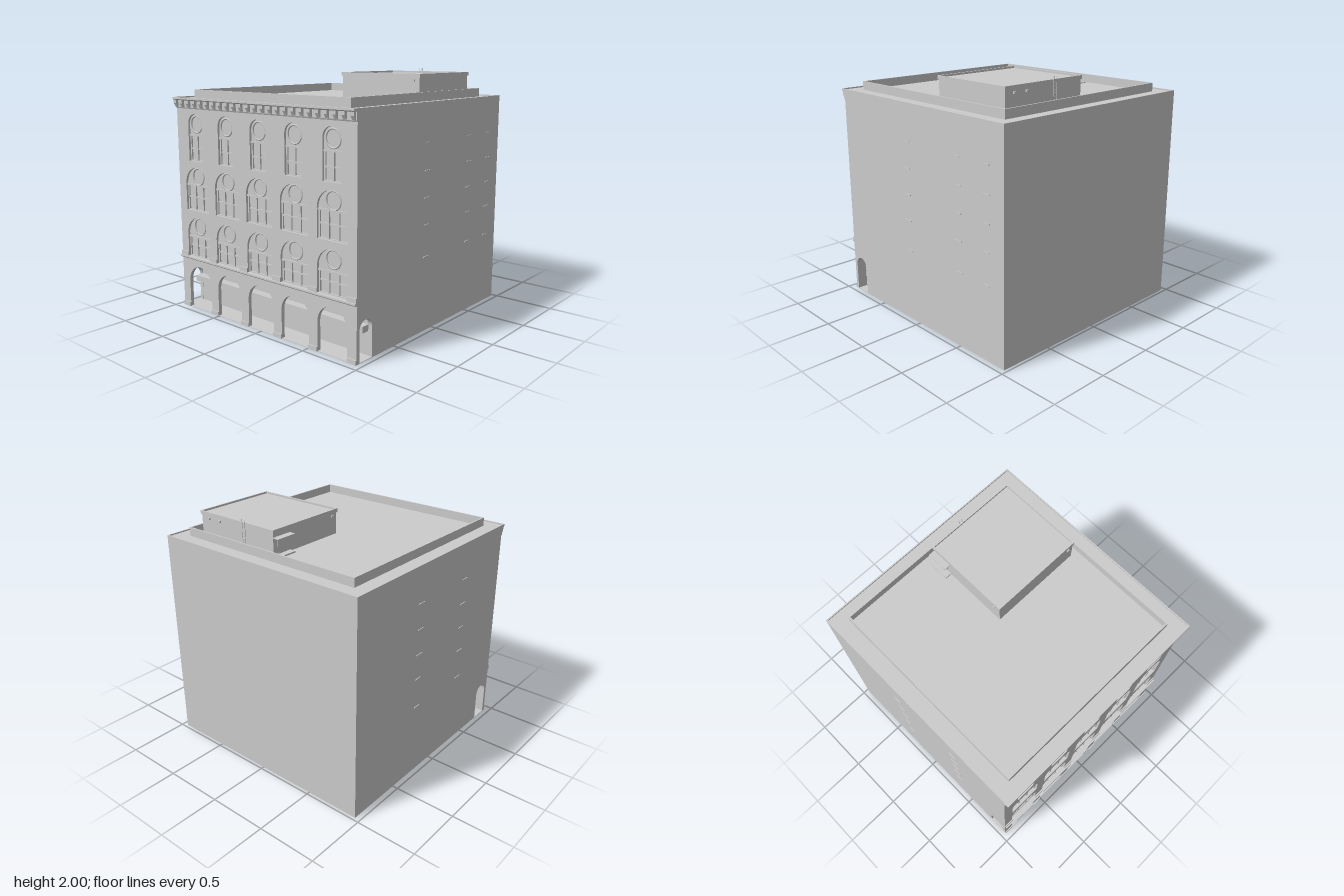
import * as THREE from 'three';

const BAY = 0.365, HALF = 0.955, BACK = -0.975, FACE = 0.935, GLASS = 0.905;

export function createModel() {
  const root = new THREE.Group();
  root.name = 'building';
  const mat = new THREE.MeshStandardMaterial({ color: 0xcccccc });

  const add = (geo, name, parent = root) => {
    const mesh = new THREE.Mesh(geo, mat);
    mesh.name = name;
    parent.add(mesh);
    return mesh;
  };
  // Box given by its min and max on each axis
  const box = (name, x0, x1, y0, y1, z0, z1, parent) => {
    const g = new THREE.BoxGeometry(x1 - x0, y1 - y0, z1 - z0);
    g.translate((x0 + x1) / 2, (y0 + y1) / 2, (z0 + z1) / 2);
    return add(g, name, parent);
  };
  const extrude = (shape, depth) =>
    new THREE.ExtrudeGeometry(shape, { depth, bevelEnabled: false, curveSegments: 24 });
  // Extrude a (z, y) outline along x, ending at x1
  const alongX = (shape, depth, x1) => extrude(shape, depth).rotateY(-Math.PI / 2).translate(x1, 0, 0);
  const polygon = pts => new THREE.Shape(pts.map(p => new THREE.Vector2(...p)));
  // Rectangular upstand around a flat roof
  const rim = (name, x0, x1, z0, z1, y0, y1, t) => {
    const rect = k => [[x0 + k, -z1 + k], [x1 - k, -z1 + k], [x1 - k, -z0 - k], [x0 + k, -z0 - k]];
    const s = polygon(rect(0));
    s.holes.push(polygon(rect(t)));
    return add(extrude(s, y1 - y0).rotateX(-Math.PI / 2).translate(0, y0, 0), name);
  };
  const arch = (path, cx, r, bottom, spring) => {
    path.moveTo(cx - r, bottom);
    path.lineTo(cx - r, spring);
    path.absarc(cx, spring, r, Math.PI, 0, true);
    path.lineTo(cx + r, bottom);
    path.closePath();
    return path;
  };

  const bays = [-2, -1, 0, 1, 2].map(i => i * BAY);
  const piers = [-2.5, -1.5, -0.5, 0.5, 1.5, 2.5].map(i => i * BAY);
  const rows = [
    { r: 0.14, bottom: 0.45, spring: 0.65, eye: 0.715, transom: 0.615, rail: 0.545, mullions: [-0.047, 0.047] },
    { r: 0.14, bottom: 0.85, spring: 1.07, eye: 1.135, transom: 1.055, rail: 0.96, mullions: [-0.047, 0.047] },
    { r: 0.085, bottom: 1.265, spring: 1.565, eye: 1.565, transom: 1.47, rail: 1.365, mullions: [0] },
  ];

  // Main mass, with a walk-through gallery left open behind the arcade
  box('mainBlock', -HALF, HALF, 0, 1.77, BACK, 0.76);
  box('upperFloorsFront', -HALF, HALF, 0.4, 1.77, 0.76, GLASS);
  box('galleryFloor', -HALF, HALF, 0, 0.004, 0.76, FACE);
  box('galleryBeam', -0.92, 0.92, 0.19, 0.24, 0.76, 0.83);
  box('galleryWallBand', -0.92, 0.92, 0.276, 0.4, 0.76, 0.765);

  // Arched gallery ends
  const end = new THREE.Shape();
  end.moveTo(0.755, 0.4);
  end.lineTo(0.755, 0);
  end.lineTo(0.762, 0);
  end.lineTo(0.762, 0.235);
  end.absarc(0.834, 0.235, 0.072, Math.PI, 0, true);
  end.lineTo(0.906, 0);
  end.lineTo(0.91, 0);
  end.lineTo(0.91, 0.4);
  for (const x1 of [HALF, -HALF + 0.035]) add(alongX(end, 0.035, x1), 'galleryEndArch');

  // Front wall: ground arcade notched from below, windows cut as holes
  const wall = new THREE.Shape();
  wall.moveTo(-HALF, 0);
  for (const cx of bays) {
    wall.lineTo(cx - 0.14, 0);
    wall.lineTo(cx - 0.14, 0.23);
    wall.absarc(cx, 0.23, 0.14, Math.PI, 0, true);
    wall.lineTo(cx + 0.14, 0);
  }
  wall.lineTo(HALF, 0);
  wall.lineTo(HALF, 1.7);
  wall.lineTo(-HALF, 1.7);
  for (const w of rows) for (const cx of bays)
    wall.holes.push(arch(new THREE.Path(), cx, w.r, w.bottom, w.spring));
  add(extrude(wall, FACE - GLASS).translate(0, 0, GLASS), 'frontWall');

  // Windows: head panel with a round light, transom, mullions, rail and frame
  const z1 = GLASS + 0.012;
  for (const w of rows) for (const cx of bays) {
    const win = new THREE.Group();
    win.name = 'window';
    win.position.x = cx;
    root.add(win);
    const head = arch(new THREE.Shape(), 0, w.r, w.transom, w.spring);
    head.holes.push(new THREE.Path().absarc(0, w.eye, 0.064, 0, Math.PI * 2, true));
    add(extrude(head, 0.012).translate(0, 0, GLASS), 'windowHead', win);
    add(new THREE.TorusGeometry(0.067, 0.007, 8, 40).translate(0, w.eye, z1), 'roundLightRing', win);
    box('transom', -w.r, w.r, w.transom, w.transom + 0.014, GLASS, z1 + 0.008, win);
    for (const m of w.mullions) box('mullion', m - 0.006, m + 0.006, w.bottom, w.transom, GLASS, z1, win);
    box('rail', -w.r, w.r, w.rail - 0.006, w.rail + 0.006, GLASS, z1 - 0.002, win);
    box('windowSill', -w.r, w.r, w.bottom, w.bottom + 0.008, GLASS, z1, win);
    for (const s of [-1, 1]) {
      const c = s * (w.r - 0.006);
      box('windowStile', c - 0.006, c + 0.006, w.bottom, w.transom, GLASS, z1, win);
    }
  }

  // Plinths and belt course
  for (const cx of piers) {
    box('pierPlinth', cx - 0.0425, cx + 0.0425, 0, 0.035, GLASS, 0.945);
    box('pierBeltBlock', cx - 0.0425, cx + 0.0425, 0.45, 0.485, GLASS, 0.945);
  }
  const belt = polygon([[0.92, 0.43], [0.95, 0.43], [0.957, 0.437], [0.957, 0.45], [0.92, 0.45]]);
  add(alongX(belt, HALF * 2, HALF), 'beltCourse');

  // Cornice with brackets
  const cornice = polygon([[0.9, 1.69], [0.94, 1.69], [0.945, 1.7], [0.945, 1.755], [0.968, 1.757],
    [0.975, 1.765], [0.975, 1.78], [0.965, 1.78], [0.965, 1.77], [0.9, 1.77]]);
  add(alongX(cornice, HALF * 2, HALF), 'cornice');
  const bracket = polygon([[0.94, 1.702], [0.952, 1.702], [0.969, 1.732], [0.969, 1.758], [0.94, 1.758]]);
  for (let i = 0; i < 25; i++)
    add(alongX(bracket, 0.028, -0.936 + i * 0.078 + 0.014), 'corniceBracket');

  // Roof edge and parapet
  box('roofEdgeBack', -HALF, HALF, 1.77, 1.78, BACK, BACK + 0.01);
  for (const s of [-1, 1]) {
    const c = s * (HALF - 0.005);
    box('roofEdgeSide', c - 0.005, c + 0.005, 1.77, 1.78, BACK, 0.97);
  }
  rim('parapet', -0.828, 0.828, -0.85, 0.85, 1.77, 1.84, 0.012);

  // Roof house with rimmed flat roof, door canopy and step
  box('roofHouse', -0.018, 0.754, 1.77, 1.96, -0.774, -0.066);
  rim('roofHouseRim', -0.025, 0.761, -0.781, -0.059, 1.945, 1.975, 0.012);
  box('doorCanopy', -0.073, -0.018, 1.911, 1.917, -0.775, -0.6);
  box('roofDoor', -0.021, -0.018, 1.78, 1.9, -0.73, -0.64);
  box('doorStep', -0.073, -0.018, 1.77, 1.782, -0.775, -0.6);

  // Roof house lamps
  box('lamp', 0.69, 0.71, 1.915, 1.93, -0.066, -0.052);
  box('lamp', -0.03, -0.018, 1.915, 1.93, -0.13, -0.11);
  for (const x of [0.55, 0.67]) box('lamp', x - 0.01, x + 0.01, 1.915, 1.93, -0.788, -0.774);

  // Ladder on the back of the roof house
  for (const x of [0.26, 0.288]) box('ladderRail', x - 0.002, x + 0.002, 1.78, 2, -0.79, -0.786);
  for (let y = 1.8; y < 1.97; y += 0.025) box('ladderRung', 0.26, 0.288, y, y + 0.003, -0.79, -0.786);

  // Small ledges on the side walls
  const ledges = [[1, [0.1, -0.5, -0.8]], [-1, [0.38, -0.22]]];
  for (const [s, zs] of ledges) for (const z of zs) for (const y of [0.6, 0.85, 1.06, 1.27, 1.48]) {
    const c = s * (HALF + 0.002);
    box('sideLedge', c - 0.004, c + 0.004, y - 0.004, y + 0.004, z - 0.034, z + 0.034);
  }

  return root;
}
